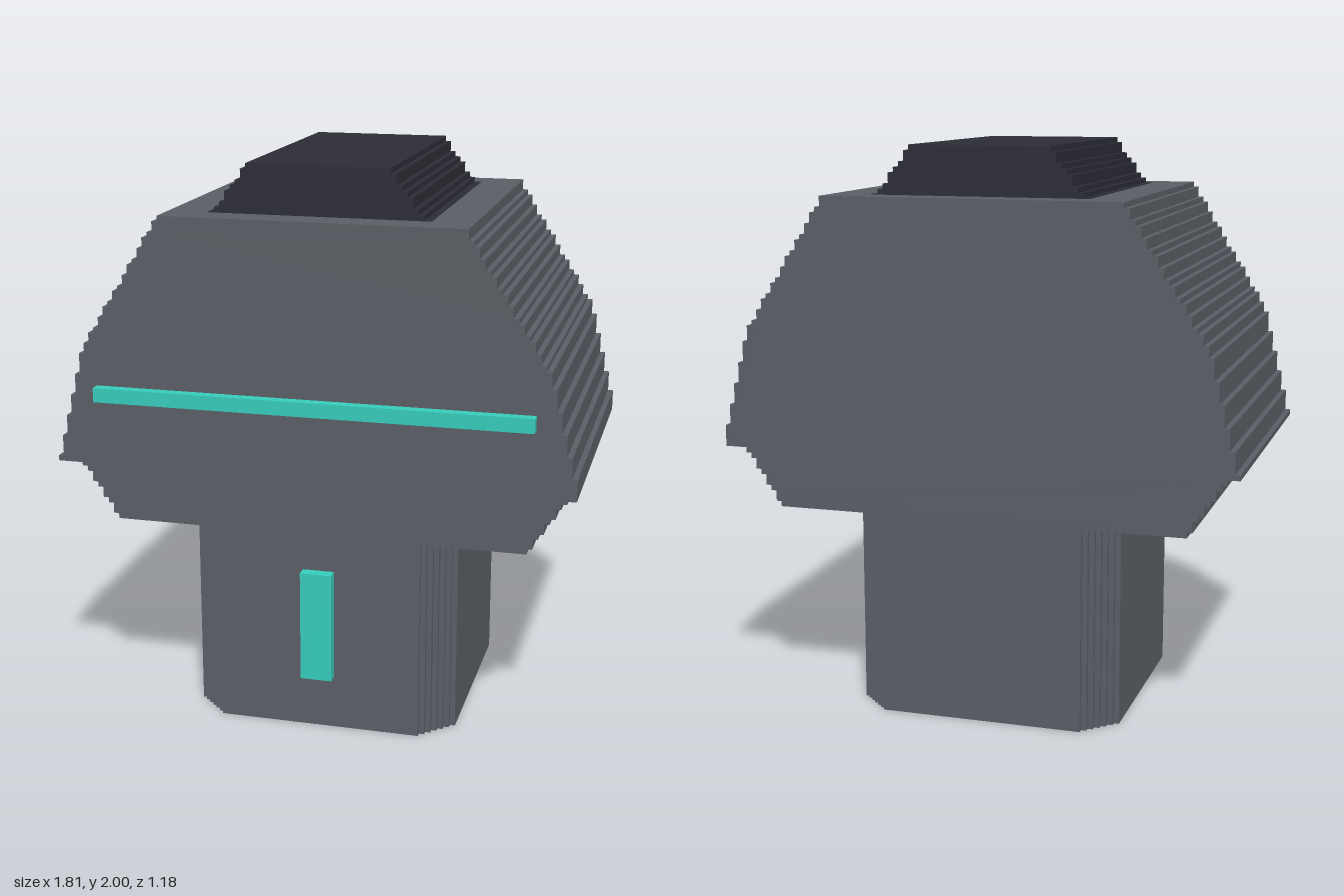
import * as THREE from 'three';

const V = 2 / 107; // size of one step

function makeMaterial(name, color) {
  const m = new THREE.MeshStandardMaterial({ color });
  m.name = name;
  return m;
}

// Extrude an outline given as [a, b] points by depth along z
function extrude(points, depth) {
  const shape = new THREE.Shape(points.map(([a, b]) => new THREE.Vector2(a, b)));
  return new THREE.ExtrudeGeometry(shape, { depth, bevelEnabled: false });
}

// Block whose sides climb in steps: rows[i] = [left, right] for each row from y0 up
function steppedBlock(rows, y0, z0, z1) {
  const left = [], right = [];
  rows.forEach(([l, r], i) => {
    const a = y0 + i * V, b = a + V;
    const last = i === rows.length - 1;
    const first = i === 0;
    // keep only the corners where the width changes
    if (first || rows[i - 1][1] !== r) right.push([r, a]);
    if (last || rows[i + 1][1] !== r) right.push([r, b]);
    if (first || rows[i - 1][0] !== l) left.push([l, a]);
    if (last || rows[i + 1][0] !== l) left.push([l, b]);
  });
  return extrude([...right, ...left.reverse()], z1 - z0).translate(0, 0, z0);
}

function box(x0, x1, y0, y1, z0, z1) {
  return new THREE.BoxGeometry(x1 - x0, y1 - y0, z1 - z0)
    .translate((x0 + x1) / 2, (y0 + y1) / 2, (z0 + z1) / 2);
}

export function createModel() {
  const grey = makeMaterial('slate grey', 0x5a5e65);
  const dark = makeMaterial('dark cap', 0x2c2c36);
  const teal = makeMaterial('teal glow', 0x36cbb9);
  const group = new THREE.Group();
  const add = (name, geometry, material) => {
    const mesh = new THREE.Mesh(geometry, material);
    mesh.name = name;
    group.add(mesh);
  };
  const range = (n, fn) => Array.from({ length: n }, (_, i) => fn(i));

  // Base: square column with stair-stepped corners
  const half = 25.4 * V, steps = 6;
  const outline = [];
  for (let q = 0; q < 4; q++) {
    const c = Math.round(Math.cos(q * Math.PI / 2)), s = Math.round(Math.sin(q * Math.PI / 2));
    const put = (x, y) => outline.push([x * c - y * s, x * s + y * c]);
    for (let k = 0; k <= steps; k++) {
      put(half - k * V, half - (steps - k) * V);
      if (k < steps) put(half - (k + 1) * V, half - (steps - k) * V);
    }
  }
  add('base', extrude(outline, 39 * V).rotateX(-Math.PI / 2).translate(0.007, 0, -V), grey);

  // Collar: widens upward under the head
  const collarRows = range(11, (i) => {
    const w = (39 + Math.round(i * 0.66)) * V;
    return [0.008 - w, 0.008 + w];
  });
  add('collar', steppedBlock(collarRows, 39 * V, -0.514, 0.476), grey);

  // Tiny post bridging the gap at one back corner
  add('post', box(0.845, 0.863, 50 * V, 51 * V, -0.514, -0.495), grey);

  // Head: steep lower flanks, then sloping shoulders
  const headRows = range(47, (i) => {
    const w = i <= 21 ? 48.95 - i / 4 : 43.7 - (i - 21) * 0.616;
    return [-(Math.floor(w - 0.75) + 0.5) * V, (Math.floor(w) + 0.5) * V];
  });
  add('head', steppedBlock(headRows, 51 * V, -0.589, 0.551), grey);

  // Cap: stepped roof block with a flush rim around its foot
  const capRows = range(9, (i) => {
    const w = (19.2 - Math.round(i * 6 / 8)) * V;
    return [0.007 - w, 0.007 + w];
  });
  add('cap', steppedBlock(capRows, 98 * V, -0.478, 0.439), dark);
  add('capRim', box(-0.374, 0.39, 98 * V - 0.004, 98 * V + 0.002, -0.478, 0.439), dark);

  // Glowing strips on the front
  add('headStrip', box(-0.752, 0.767, 1.186, 1.236, 0.551, 0.589), teal);
  add('baseStrip', box(-0.048, 0.064, 0.194, 0.592, 0.45, 0.497), teal);

  return group;
}
